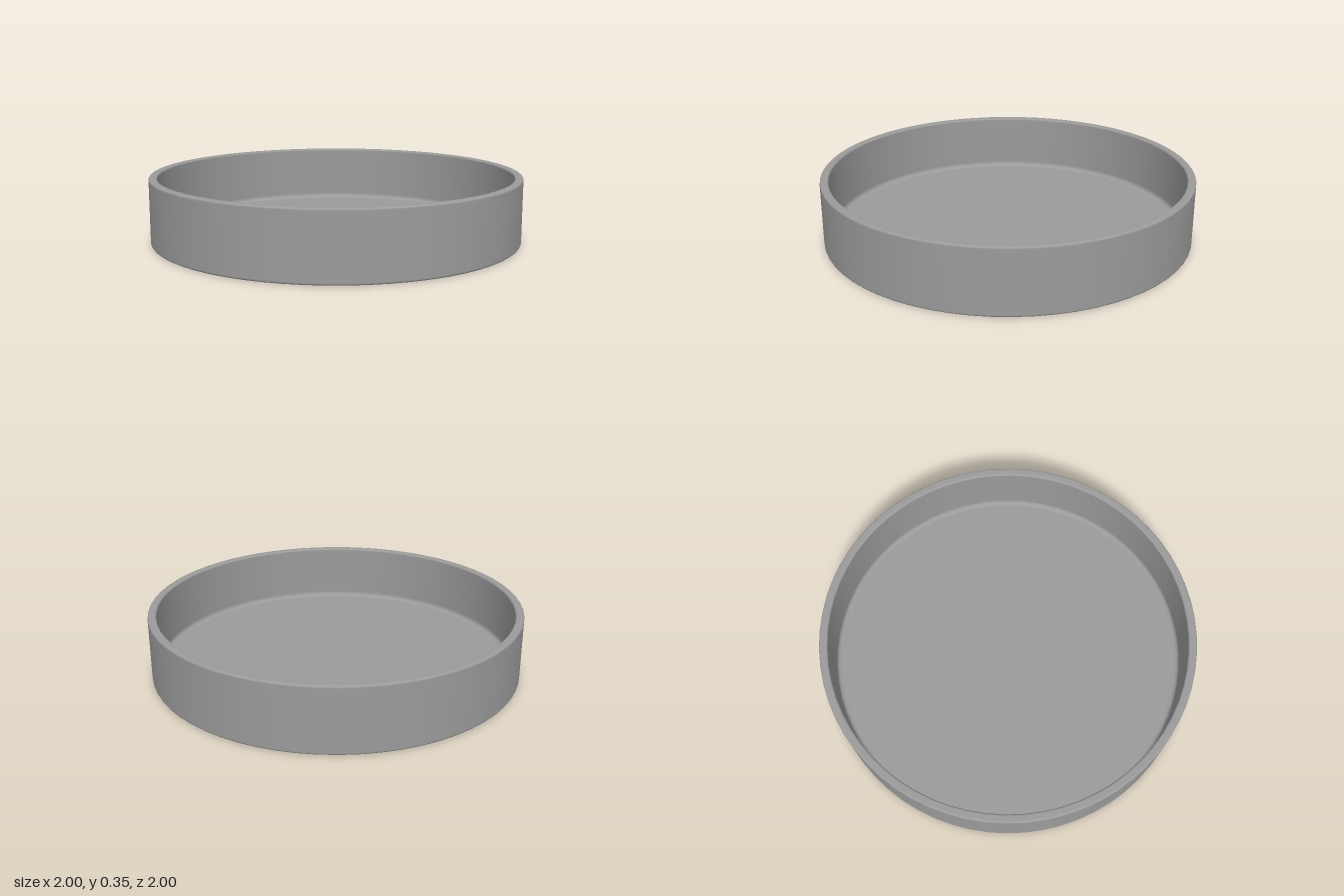
import * as THREE from 'three';

const HEIGHT = 0.35, OUTER = 1, INNER = 0.955, FLOOR = 0.036, SEGMENTS = 64;
const EDGE = 0.01, FILLET = 0.023, HOLD = 0.004;

// Rounded corner, with a holding point on each side so the flat faces shade flat
function corner(cx, cy, r, from, to, steps = 5) {
  const dir = Math.sign(to - from);
  const at = (a) => new THREE.Vector2(cx + r * Math.cos(a), cy + r * Math.sin(a));
  const tangent = (a) => new THREE.Vector2(-Math.sin(a), Math.cos(a)).multiplyScalar(HOLD * dir);
  const pts = [at(from).sub(tangent(from))];
  for (let i = 0; i <= steps; i++) pts.push(at(from + (to - from) * i / steps));
  pts.push(at(to).add(tangent(to)));
  return pts;
}

export function createModel() {
  const group = new THREE.Group();
  group.name = 'roundTray';
  const q = Math.PI / 2;

  // Closed wall section: underside, outer wall, rim, inner wall, floor
  const profile = [
    new THREE.Vector2(0, 0),
    ...corner(OUTER - EDGE, EDGE, EDGE, -q, 0),
    ...corner(OUTER - EDGE, HEIGHT - EDGE, EDGE, 0, q),
    ...corner(INNER + EDGE, HEIGHT - EDGE, EDGE, q, 2 * q),
    ...corner(INNER - FILLET, FLOOR + FILLET, FILLET, 0, -q),
    new THREE.Vector2(0, FLOOR),
  ];

  const dish = new THREE.Mesh(
    new THREE.LatheGeometry(profile, SEGMENTS),
    new THREE.MeshStandardMaterial({ color: 0x9b9b9b })
  );
  dish.name = 'dish';
  group.add(dish);
  return group;
}
